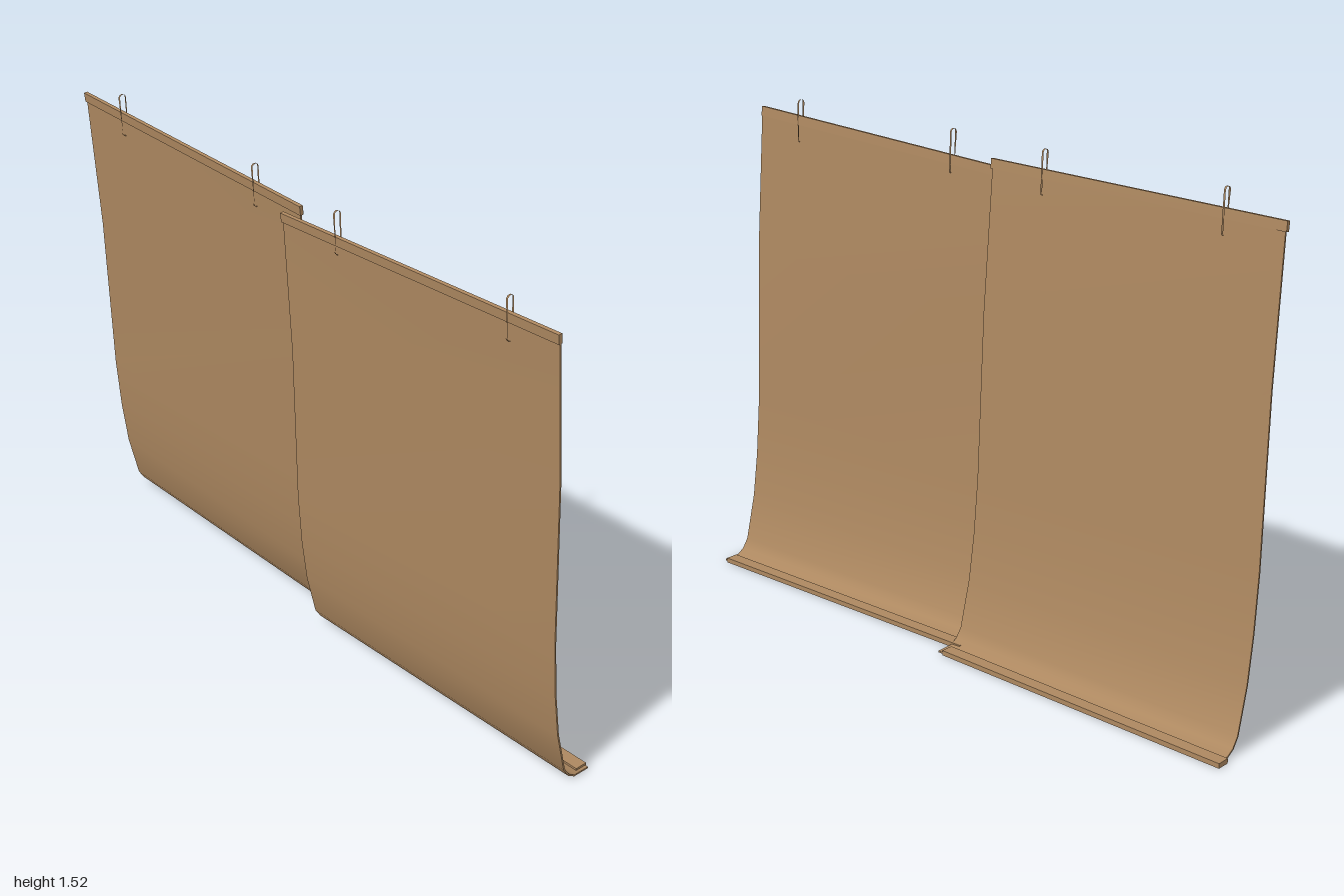
import * as THREE from 'three';
import { toCreasedNormals } from 'three/addons/utils/BufferGeometryUtils.js';

// Curved cross-section as [z, y], from the rear bottom tip up to the rail (y is a share of height)
const PROFILE = [
  [-0.13, 0.003], [-0.075, 0.004], [-0.05, 0.02], [-0.03, 0.05], [0.005, 0.19],
  [0.025, 0.33], [0.04, 0.5], [0.061, 1.0], [0.095, 1.44],
];
const TOP = 1.44;

// Solid strip following a profile between two ends; thickness t grows backwards
function slab(profile, t, ends) {
  const rails = ends.map((place) => {
    const front = [], back = [];
    profile.forEach(([z, y], i) => {
      const p = profile[Math.max(i - 1, 0)], q = profile[Math.min(i + 1, profile.length - 1)];
      const dz = q[0] - p[0], dy = q[1] - p[1], l = Math.hypot(dz, dy);
      front.push(place(z, y));
      back.push(place(z - t * dy / l, y + t * dz / l));
    });
    return { front, back };
  });
  const [{ front: fA, back: bA }, { front: fB, back: bB }] = rails;
  const pos = [];
  const quad = (a, b, c, d) => [a, b, c, a, c, d].forEach((v) => pos.push(...v));
  const n = profile.length - 1;
  for (let i = 0; i < n; i++) {
    quad(fA[i], fB[i], fB[i + 1], fA[i + 1]);
    quad(bB[i], bA[i], bA[i + 1], bB[i + 1]);
    quad(bA[i], fA[i], fA[i + 1], bA[i + 1]);
    quad(fB[i], bB[i], bB[i + 1], fB[i + 1]);
  }
  quad(bA[0], bB[0], fB[0], fA[0]);
  quad(fA[n], fB[n], bB[n], bA[n]);
  const geo = new THREE.BufferGeometry();
  geo.setAttribute('position', new THREE.Float32BufferAttribute(pos, 3));
  return toCreasedNormals(geo, Math.PI / 4);
}

export function createModel() {
  const model = new THREE.Group();
  model.name = 'hangingPanels';
  const canvas = new THREE.MeshStandardMaterial({ color: 0xad8860, side: THREE.DoubleSide });
  canvas.name = 'tan canvas';

  // Each end: sheet x at bottom and top, hem x, rail x, z shift at bottom and top, height
  const panels = [
    { name: 'rightPanel', hooks: [-0.785, -0.165], ends: [
      { x0: -0.987, x1: -0.975, hem: -1.0, rail: -0.98, z0: 0.015, z1: 0.013, h: 1.46 },
      { x0: 0.022, x1: 0.025, hem: 0.005, rail: 0.03, z0: -0.005, z1: 0.011, h: 1.46 }] },
    { name: 'leftPanel', hooks: [0.2, 0.82], ends: [
      { x0: -0.01, x1: -0.017, hem: -0.01, rail: -0.022, z0: 0.055, z1: 0.036, h: 1.43 },
      { x0: 0.995, x1: 0.985, hem: 0.985, rail: 0.985, z0: 0.0, z1: -0.002, h: 1.475 }] },
  ];

  for (const { name, hooks, ends } of panels) {
    const panel = new THREE.Group();
    panel.name = name;
    const add = (part, geo) => {
      const mesh = new THREE.Mesh(geo, canvas);
      mesh.name = part;
      panel.add(mesh);
      return mesh;
    };
    // Turns profile coordinates into a point at one end of the panel
    const placers = (xOf) => ends.map((e) => (z, y) => {
      const k = y / TOP;
      return [xOf(e, k), k * e.h, z + THREE.MathUtils.lerp(e.z0, e.z1, k)];
    });

    add('sheet', slab(PROFILE, 0.005, placers((e, k) => THREE.MathUtils.lerp(e.x0, e.x1, k))));
    // Flat bar along the rear bottom edge
    add('bottomHem', slab([[-0.132, 0], [-0.093, 0]], 0.015, placers((e) => e.hem)));
    // Narrow bar along the top edge
    add('topRail', slab([[0.096, 1.412], [0.099, 1.44]], 0.011, placers((e) => e.rail)));

    // Long narrow ribbon loops hanging the panel
    for (const x of hooks) {
      const geo = new THREE.CylinderGeometry(0.011, 0.011, 0.006, 12, 1, true).rotateZ(Math.PI / 2);
      const p = geo.attributes.position;
      for (let i = 0; i < p.count; i++) p.setY(i, p.getY(i) + (p.getY(i) > 0 ? 0.055 : -0.055));
      const u = (x - ends[0].x1) / (ends[1].x1 - ends[0].x1);
      const hook = add('hangingLoop', geo);
      hook.position.set(x, 1.452, 0.093 + THREE.MathUtils.lerp(ends[0].z1, ends[1].z1, u));
      hook.rotation.x = 0.05;
    }
    model.add(panel);
  }
  return model;
}
